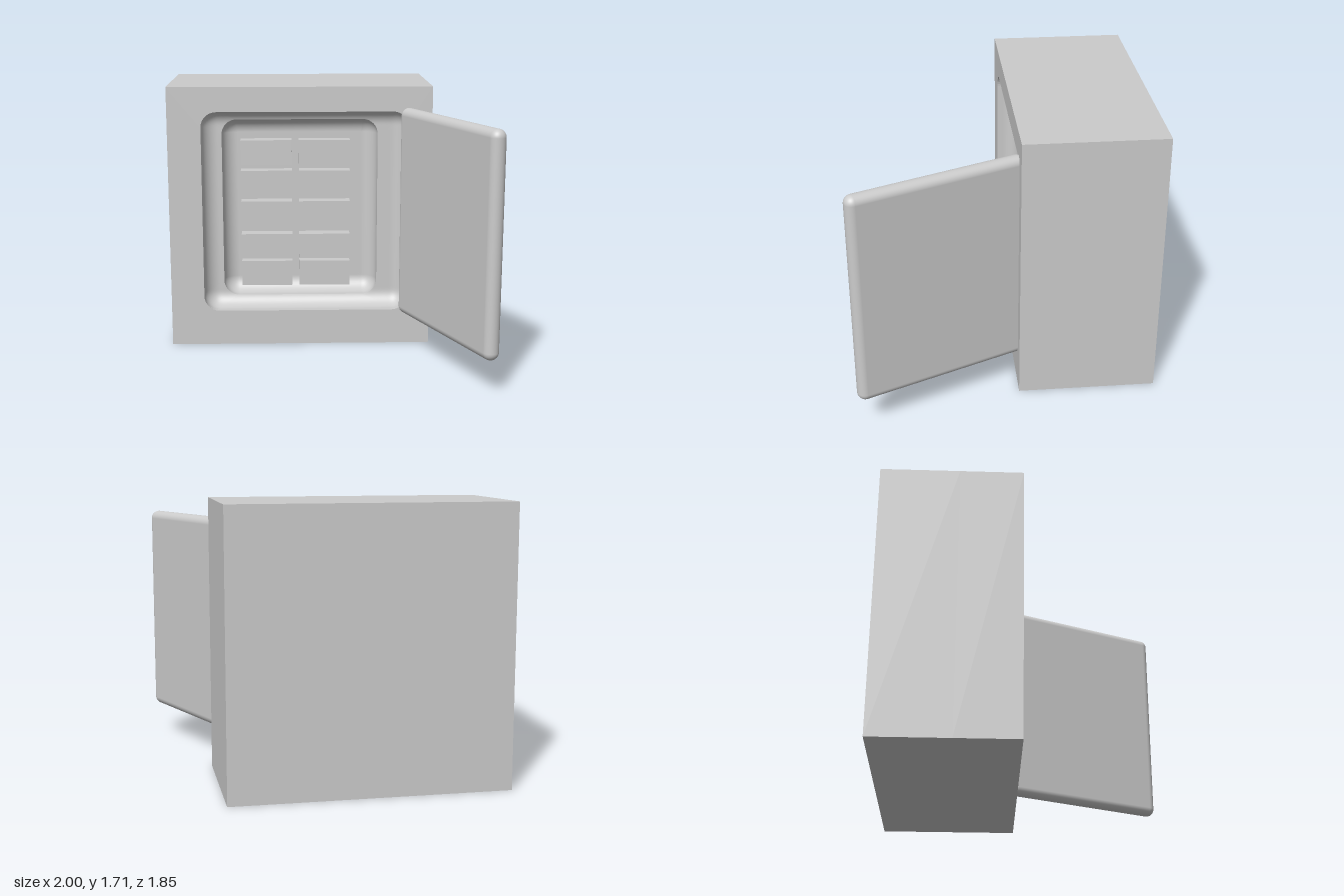
import * as THREE from 'three';
import { RoundedBoxGeometry } from 'three/addons/geometries/RoundedBoxGeometry.js';

const FRONT = -0.07, BACK = -0.925, MID = -0.45;
const OUTER = { x0: -0.785, x1: 0.55, y0: 0.23, y1: 1.55, r: 0.1 };
const INNER = { x0: -0.66, x1: 0.36, y0: 0.3, y1: 1.485, r: 0.1 };
const FILLET = 0.1;

// Rounded rectangle as counter-clockwise points, optionally inset
function roundedRect(o, inset = 0, steps = 10) {
  const r = Math.max(o.r - inset, 0.002), pts = [];
  const cx = [o.x1 - inset - r, o.x0 + inset + r];
  const cy = [o.y1 - inset - r, o.y0 + inset + r];
  [[0, 0], [1, 0], [1, 1], [0, 1]].forEach(([i, j], k) => {
    for (let s = 0; s <= steps; s++) {
      const a = (k + s / steps) * Math.PI / 2;
      pts.push(new THREE.Vector2(cx[i] + r * Math.cos(a), cy[j] + r * Math.sin(a)));
    }
  });
  return pts;
}

// Distance from a point inside the rounded rectangle to its edge
function edgeDistance(p, o) {
  const qx = Math.abs(p.x - (o.x0 + o.x1) / 2) - (o.x1 - o.x0) / 2 + o.r;
  const qy = Math.abs(p.y - (o.y0 + o.y1) / 2) - (o.y1 - o.y0) / 2 + o.r;
  return o.r - Math.hypot(Math.max(qx, 0), Math.max(qy, 0)) - Math.min(Math.max(qx, qy), 0);
}

// Depth of a quarter-round fillet at distance d from the wall
const filletDrop = d => {
  const k = FILLET - Math.min(Math.max(d, 0), FILLET);
  return Math.sqrt(FILLET * FILLET - k * k);
};

// Skin closed rings of points; optionally close the last ring with a fan
function loft(rings, capped) {
  const n = rings[0].length, pos = [], idx = [];
  rings.forEach(ring => ring.forEach(p => pos.push(p.x, p.y, p.z)));
  for (let i = 0; i < rings.length - 1; i++) {
    for (let j = 0; j < n; j++) {
      const a = i * n + j, b = i * n + (j + 1) % n;
      idx.push(a, b, b + n, a, b + n, a + n);
    }
  }
  if (capped) {
    const last = rings[rings.length - 1], base = (rings.length - 1) * n;
    const c = last.reduce((s, p) => s.add(p), new THREE.Vector3()).divideScalar(n);
    pos.push(c.x, c.y, c.z);
    for (let j = 0; j < n; j++) idx.push(base + j, base + (j + 1) % n, base + n);
  }
  const g = new THREE.BufferGeometry();
  g.setAttribute('position', new THREE.Float32BufferAttribute(pos, 3));
  g.setIndex(idx);
  g.computeVertexNormals();
  return g;
}

export function createModel() {
  const model = new THREE.Group();
  model.name = 'openSafe';
  const grey = new THREE.MeshStandardMaterial({ color: 0xcccccc });
  const add = (name, geometry, parent = model) => {
    const mesh = new THREE.Mesh(geometry, grey);
    mesh.name = name;
    parent.add(mesh);
    return mesh;
  };

  // Cabinet: solid rear block and a front frame with the door opening
  add('cabinetBack', new THREE.BoxGeometry(1.7, 1.71, MID - BACK))
    .position.set(-0.15, 0.855, (MID + BACK) / 2);
  const face = new THREE.Shape([[-1, 0], [0.7, 0], [0.7, 1.71], [-1, 1.71]]
    .map(p => new THREE.Vector2(...p)));
  face.holes.push(new THREE.Path(roundedRect(OUTER)));
  add('cabinetFrame', new THREE.ExtrudeGeometry(face, { depth: FRONT - MID, bevelEnabled: false }))
    .position.z = MID;

  // Outer recess: filleted step running from the opening to the inner lip
  const stepTop = FRONT - 0.04;
  const outerPts = roundedRect(OUTER), innerPts = roundedRect(INNER);
  const stepRings = [];
  for (let i = 0; i <= 20; i++) {
    const t = (i / 20) ** 2;
    stepRings.push(outerPts.map((p, j) => {
      const q = p.clone().lerp(innerPts[j], t);
      return new THREE.Vector3(q.x, q.y, stepTop - filletDrop(edgeDistance(q, OUTER)));
    }));
  }
  add('recessStep', loft(stepRings, false));

  // Inner recess: short wall, rounded bottom edge and flat floor
  const wallEnd = -0.23;
  const cavityRings = [stepRings[20]];
  for (let i = 0; i <= 10; i++) {
    const a = i / 10 * Math.PI / 2, inset = FILLET * (1 - Math.cos(a));
    cavityRings.push(roundedRect(INNER, inset)
      .map(p => new THREE.Vector3(p.x, p.y, wallEnd - FILLET * Math.sin(a))));
  }
  add('innerRecess', loft(cavityRings, true));

  // Two columns of five blocks standing on the recess floor
  const blocks = new THREE.Group();
  blocks.name = 'storedBlocks';
  model.add(blocks);
  for (const x of [-0.372, 0.012]) {
    for (const y of [0.44, 0.625, 0.848, 1.055, 1.258]) {
      add('block', new THREE.BoxGeometry(0.338, 0.168, 0.1), blocks).position.set(x, y, -0.29);
    }
  }

  // Door: thin rounded slab swung open at the model's left
  const door = add('door', new RoundedBoxGeometry(1.112, 1.364, 0.1, 6, 0.0495));
  door.position.set(0.75, 0.893, 0.41);
  door.rotation.y = -Math.atan2(0.93, 0.4);

  return model;
}
